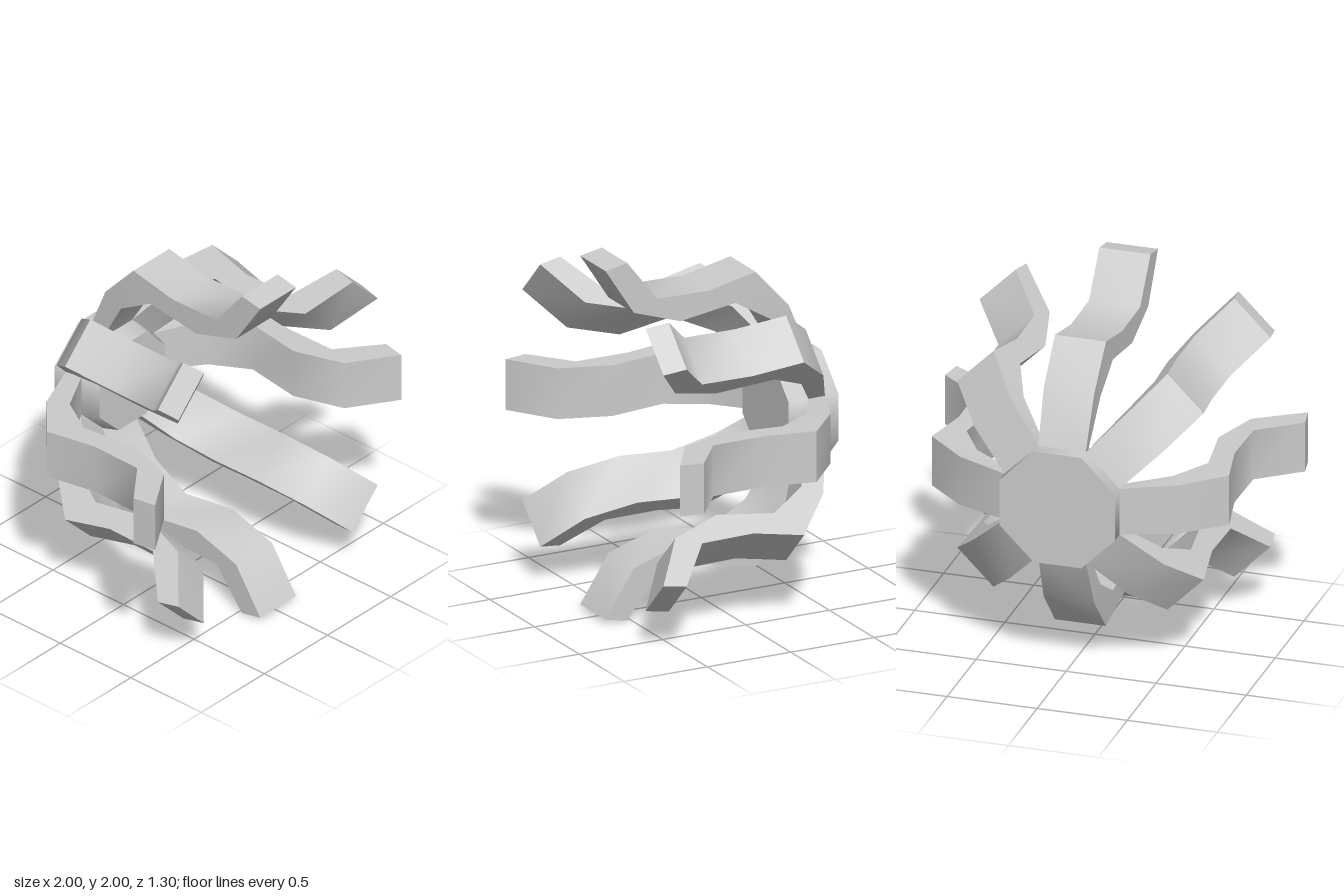
import * as THREE from 'three';
import { toCreasedNormals } from 'three/addons/utils/BufferGeometryUtils.js';

const SIDES = 8;
const TO_CORNER = 1 / Math.cos(Math.PI / SIDES); // flat-to-centre distance -> corner radius

// Arm cross-sections: outer radius, outer z, outer half width, inner radius, inner z, inner half width
const SECTIONS = [
  [0.32, -0.57, 0.132, 0.285, -0.49, 0.118],
  [0.605, -0.45, 0.14, 0.545, -0.34, 0.14],
  [0.825, -0.25, 0.142, 0.67, -0.13, 0.142],
  [0.765, 0.03, 0.142, 0.622, 0.2, 0.142],
  [0.77, 0.34, 0.142, 0.714, 0.48, 0.142],
  [1.0, 0.52, 0.142, 0.975, 0.65, 0.142],
];

// Rectangular sections lofted along the bent arm, with a closed tip
function armGeometry() {
  const loops = SECTIONS.map(([ro, zo, wo, ri, zi, wi]) => [
    [-wo, ro, zo], [wo, ro, zo], [wi, ri, zi], [-wi, ri, zi],
  ]);
  const positions = [];
  const quad = (a, b, c, d) => positions.push(...a, ...b, ...c, ...a, ...c, ...d);
  for (let i = 0; i < loops.length - 1; i++) {
    for (let j = 0; j < 4; j++) {
      const k = (j + 1) % 4;
      quad(loops[i][j], loops[i + 1][j], loops[i + 1][k], loops[i][k]);
    }
  }
  const [a, b, c, d] = loops[loops.length - 1];
  quad(a, d, c, b);
  const geometry = new THREE.BufferGeometry();
  geometry.setAttribute('position', new THREE.Float32BufferAttribute(positions, 3));
  return toCreasedNormals(geometry, THREE.MathUtils.degToRad(56));
}

// Octagonal slab along z, given by its flat-to-centre distance at each end
function octagon(name, backR, frontR, backZ, frontZ, material) {
  const geometry = new THREE.CylinderGeometry(
    frontR * TO_CORNER, backR * TO_CORNER, frontZ - backZ, SIDES, 1, false, Math.PI / SIDES);
  geometry.rotateX(Math.PI / 2);
  geometry.translate(0, 0, (backZ + frontZ) / 2);
  const mesh = new THREE.Mesh(geometry, material);
  mesh.name = name;
  return mesh;
}

export function createModel() {
  const model = new THREE.Group();
  model.name = 'claw';
  const material = new THREE.MeshStandardMaterial({ color: 0xcccccc });

  // Back plate and the tapered hub in front of it
  model.add(octagon('backPlate', 0.32, 0.32, -0.65, -0.57, material));
  model.add(octagon('hubBase', 0.32, 0.285, -0.57, -0.49, material));
  model.add(octagon('hubFace', 0.285, 0.258, -0.49, -0.385, material));

  // Eight bent arms, one on each side of the hub
  const geometry = armGeometry();
  for (let i = 0; i < SIDES; i++) {
    const arm = new THREE.Mesh(geometry, material);
    arm.name = `arm${i + 1}`;
    arm.rotation.z = (i / SIDES) * Math.PI * 2;
    model.add(arm);
  }

  model.children.forEach((part) => { part.position.y = 1; });
  return model;
}
